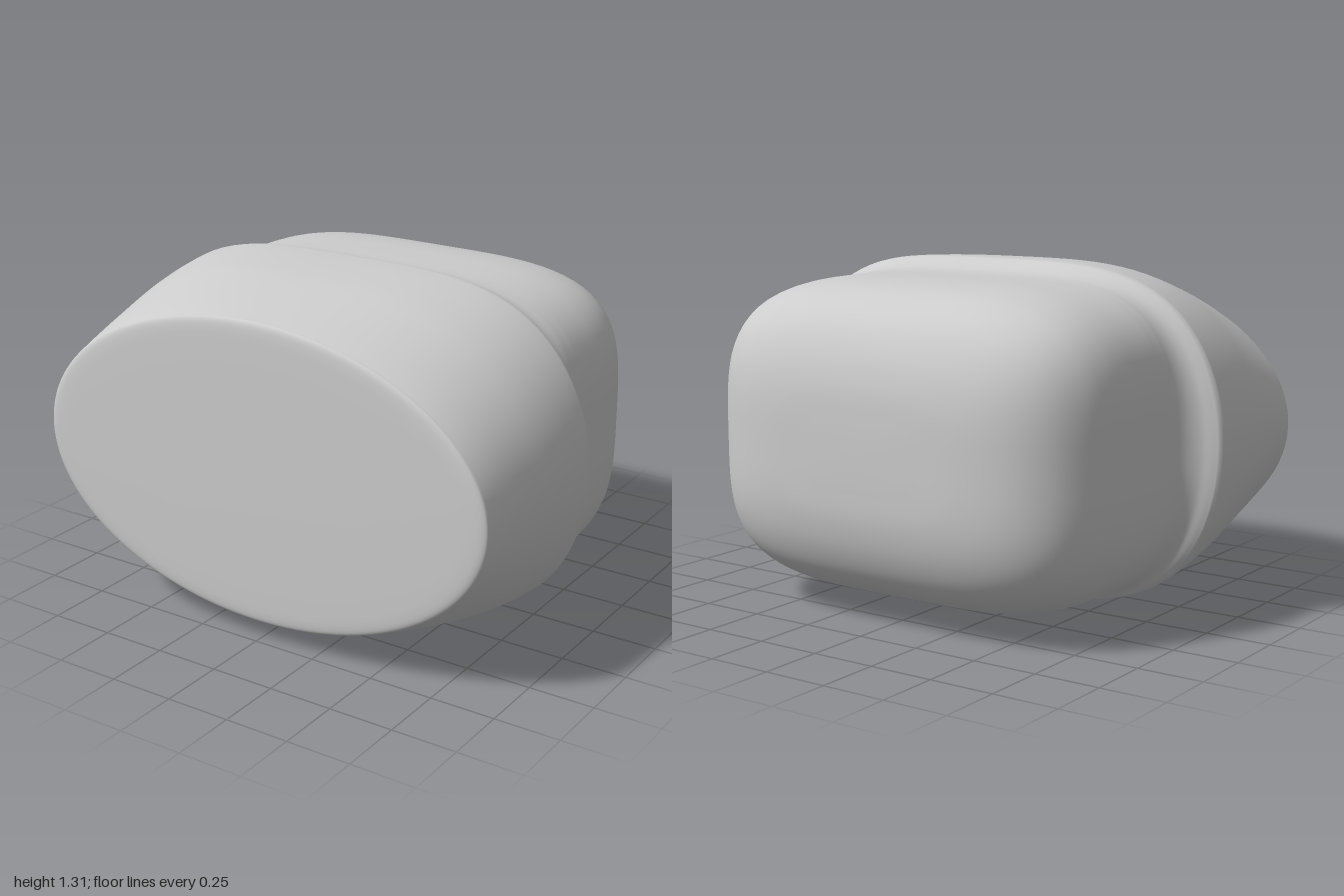
import * as THREE from 'three';

const SEG = 128;
const CENTER_Y = 0.655;

// Rounded-oval ring: p = (half width, half height, z), solving |x|^a + |y|^b = 1.
// A higher a flattens top and bottom, a higher b flattens the sides.
function ring(p, a, b) {
  const pts = [];
  for (let i = 0; i < SEG; i++) {
    const t = (i / SEG) * Math.PI * 2, c = Math.cos(t), s = Math.sin(t);
    let r = 1.42;
    for (let k = 0; k < 10; k++) {
      const u = Math.pow(Math.abs(c) * r, a), v = Math.pow(Math.abs(s) * r, b);
      r -= (u + v - 1) * r / (a * u + b * v);
    }
    pts.push(p.x * r * c, p.y * r * s, p.z);
  }
  return pts;
}

// Skin rings ordered from front to back, optionally closing either end on a point
function loft(rings, frontZ = null, backZ = null) {
  const pos = rings.flat(), idx = [];
  for (let j = 0; j < rings.length - 1; j++) {
    for (let i = 0; i < SEG; i++) {
      const k = (i + 1) % SEG;
      const a = j * SEG + i, b = j * SEG + k, c = a + SEG, d = b + SEG;
      idx.push(a, c, b, b, c, d);
    }
  }
  const close = (z, base, front) => {
    const tip = pos.length / 3;
    pos.push(0, 0, z);
    for (let i = 0; i < SEG; i++) {
      const a = base + i, b = base + (i + 1) % SEG;
      if (front) idx.push(tip, a, b);
      else idx.push(tip, b, a);
    }
  };
  if (frontZ !== null) close(frontZ, 0, true);
  if (backZ !== null) close(backZ, (rings.length - 1) * SEG, false);
  const g = new THREE.BufferGeometry();
  g.setAttribute('position', new THREE.Float32BufferAttribute(pos, 3));
  g.setIndex(idx);
  g.computeVertexNormals();
  return g;
}

// Smooth profile through [half width, half height, z] points
function profile(points, count) {
  return new THREE.CatmullRomCurve3(points.map(p => new THREE.Vector3(...p)), false, 'centripetal').getPoints(count);
}

export function createModel() {
  const group = new THREE.Group();
  const grey = new THREE.MeshStandardMaterial({ color: 0xcccccc });
  grey.name = 'light grey';
  const add = (name, geometry) => {
    const mesh = new THREE.Mesh(geometry, grey);
    mesh.name = name;
    mesh.position.y = CENTER_Y;
    group.add(mesh);
  };

  // Slightly domed elliptical face with a small rounded rim
  const face = profile([
    [0.5, 0.3, 0.76], [0.8, 0.48, 0.758], [0.91, 0.545, 0.755],
    [0.94, 0.565, 0.75], [0.952, 0.573, 0.743], [0.955, 0.575, 0.735],
  ], 20);
  add('frontFace', loft(face.map(p => ring(p, 2, 2)), 0.761));

  // Front housing, blending from an ellipse to a rounded box, then the stepped shoulder
  const housing = profile([
    [0.955, 0.575, 0.735], [0.961, 0.592, 0.65], [0.973, 0.619, 0.5], [0.986, 0.638, 0.38],
    [0.995, 0.648, 0.27], [0.999, 0.654, 0.16], [0.999, 0.655, 0.1],
  ], 36);
  const shoulder = profile([
    [0.99, 0.654, 0.088], [0.965, 0.652, 0.075], [0.93, 0.643, 0.058],
    [0.895, 0.625, 0.025], [0.872, 0.611, -0.015], [0.86, 0.604, -0.06],
  ], 20);

  // Rear body with a softly rounded back
  const rear = profile([
    [0.857, 0.602, -0.1], [0.855, 0.601, -0.2], [0.851, 0.598, -0.32], [0.84, 0.587, -0.42],
    [0.815, 0.566, -0.51], [0.763, 0.522, -0.6], [0.695, 0.462, -0.665], [0.595, 0.37, -0.717],
    [0.44, 0.25, -0.75], [0.2, 0.1, -0.76],
  ], 48);
  const bodyRing = p => {
    const swell = Math.pow(THREE.MathUtils.clamp((0.735 - p.z) / 0.635, 0, 1), 0.9);
    const square = THREE.MathUtils.smoothstep(0.1 - p.z, 0, 0.2);
    return ring(p, 2 + 1.75 * swell + 0.15 * square, 2 + 1.7 * square);
  };
  const body = [...housing, ...shoulder, ...rear];
  add('body', loft(body.map(bodyRing), null, -0.761));

  return group;
}
